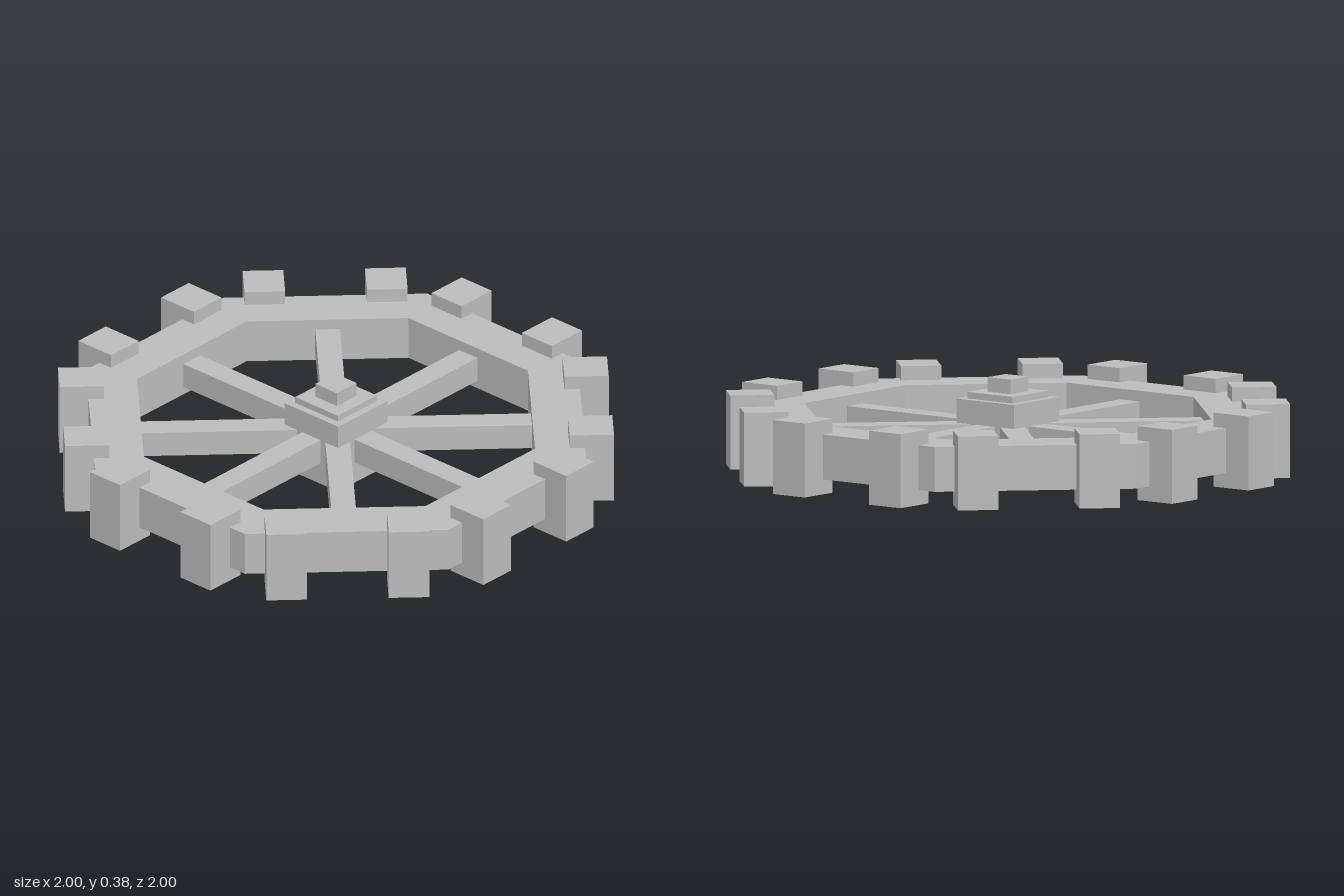
import * as THREE from 'three';

export function createModel() {
  const model = new THREE.Group();
  model.name = 'cogWheel';
  const grey = new THREE.MeshStandardMaterial({ color: 0xbdbdbd });
  grey.name = 'grey';
  const midY = 0.165;

  const box = (name, w, h, d, x, y, z, parent) => {
    const mesh = new THREE.Mesh(new THREE.BoxGeometry(w, h, d), grey);
    mesh.name = name;
    mesh.position.set(x, y, z);
    parent.add(mesh);
    return mesh;
  };

  // Octagon with flat sides facing the axes, given its apothem
  const octagon = (apothem) => Array.from({ length: 8 }, (_, i) => {
    const a = (i + 0.5) * Math.PI / 4;
    const r = apothem / Math.cos(Math.PI / 8);
    return new THREE.Vector2(r * Math.cos(a), r * Math.sin(a));
  });

  // Rim: octagonal ring
  const ring = new THREE.Shape(octagon(0.895));
  ring.holes.push(new THREE.Path(octagon(0.712)));
  const rimGeometry = new THREE.ExtrudeGeometry(ring, { depth: 0.165, bevelEnabled: false });
  rimGeometry.rotateX(-Math.PI / 2);
  const rim = new THREE.Mesh(rimGeometry, grey);
  rim.name = 'rim';
  rim.position.y = 0.084;
  model.add(rim);

  // One spoke and two teeth on each side of the octagon
  for (let i = 0; i < 8; i++) {
    const sector = new THREE.Group();
    sector.name = 'sector';
    sector.rotation.y = i * Math.PI / 4;
    box('spoke', 0.09, 0.095, 0.67, 0, midY - 0.003, 0.385, sector);
    for (const side of [-1, 1]) {
      box('tooth', 0.148, 0.272, 0.162, side * 0.223, midY, 0.919, sector);
    }
    model.add(sector);
  }

  // Stepped hub: half width, bottom, top
  const tiers = [
    ['hub', 0.133, 0.032, 0.298],
    ['hubPlate', 0.105, 0.008, 0.322],
    ['axle', 0.053, 0, 0.375],
  ];
  for (const [name, half, bottom, top] of tiers) {
    box(name, half * 2, top - bottom, half * 2, 0, (top + bottom) / 2, 0, model);
  }
  return model;
}
